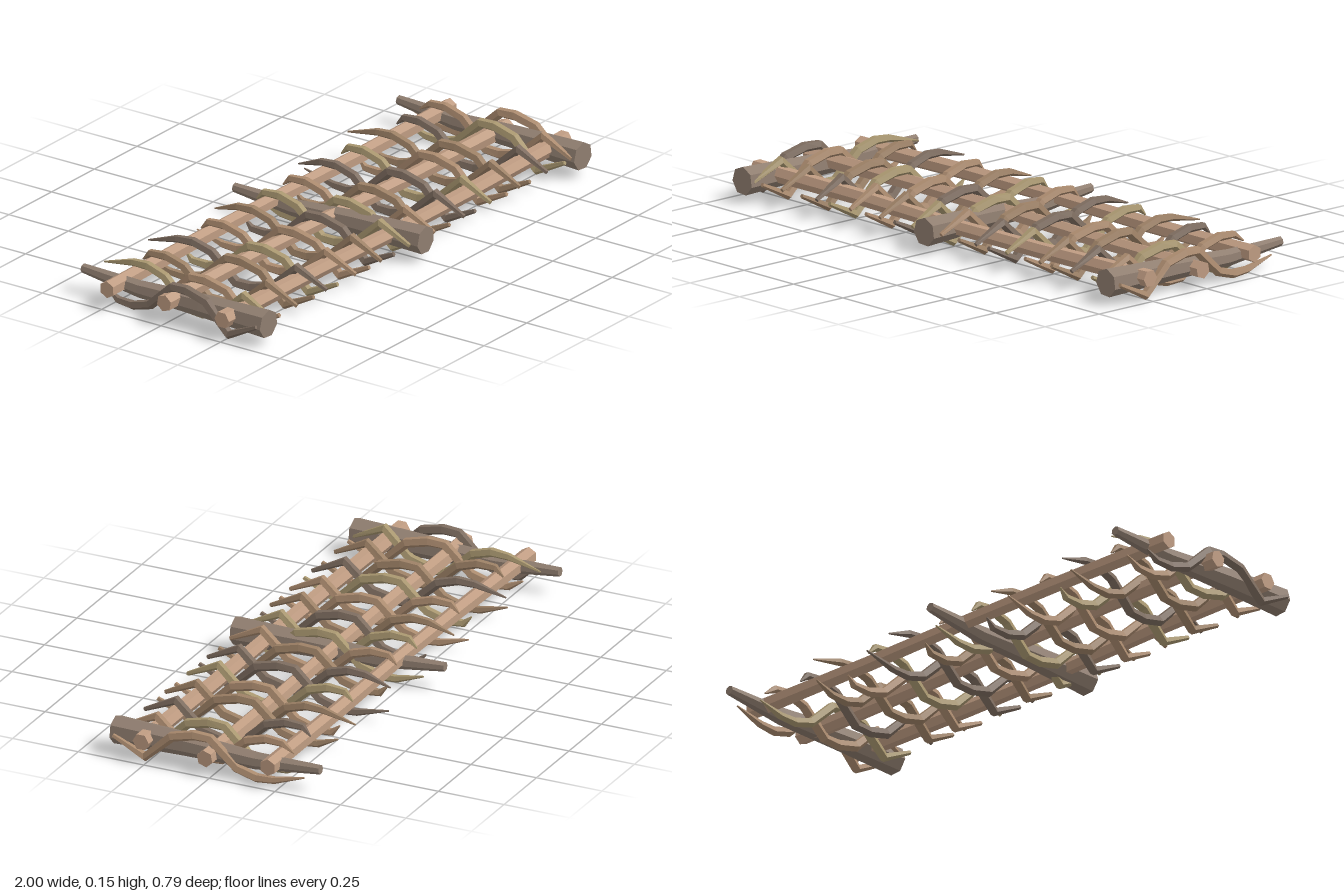
import * as THREE from 'three';

// Faceted limb swept along rows of [x, y, z, radius], capped at both ends
function limb(name, rows, sides, color, ref, turn) {
  const centres = rows.map(r => new THREE.Vector3(r[0], r[1], r[2]));
  const pos = [], idx = [];
  const last = rows.length - 1;
  rows.forEach((r, k) => {
    const t = centres[Math.min(k + 1, last)].clone().sub(centres[Math.max(k - 1, 0)]).normalize();
    const v = t.clone().cross(ref).normalize();
    const u = v.clone().cross(t);
    for (let i = 0; i < sides; i++) {
      const a = turn + (i / sides) * Math.PI * 2;
      const p = centres[k].clone().addScaledVector(u, Math.cos(a) * r[3]).addScaledVector(v, Math.sin(a) * r[3]);
      pos.push(p.x, p.y, p.z);
    }
  });
  for (let k = 0; k < last; k++) {
    for (let i = 0; i < sides; i++) {
      const a = k * sides + i, b = k * sides + (i + 1) % sides;
      idx.push(a, b, b + sides, a, b + sides, a + sides);
    }
  }
  const end = last * sides;
  for (let i = 1; i < sides - 1; i++) idx.push(0, i + 1, i, end, end + i, end + i + 1);
  const indexed = new THREE.BufferGeometry();
  indexed.setAttribute('position', new THREE.Float32BufferAttribute(pos, 3));
  indexed.setIndex(idx);
  const geo = indexed.toNonIndexed();
  geo.computeVertexNormals();
  const mesh = new THREE.Mesh(geo, new THREE.MeshStandardMaterial({ color, flatShading: true }));
  mesh.name = name;
  return mesh;
}

export function createModel() {
  const model = new THREE.Group();
  model.name = 'wattleFencePanel';
  const X = new THREE.Vector3(1, 0, 0), Y = new THREE.Vector3(0, 1, 0);

  // Tapered posts: [x at the thick end, x at the thin end]
  [[-0.92, -0.905], [0, -0.02], [0.92, 0.94]].forEach(([x0, x1], i) => {
    const at = t => x0 + (x1 - x0) * t;
    model.add(limb('post' + (i + 1), [
      [at(0), 0.078, 0.395, 0.051],
      [at(0.35), 0.078, 0.12, 0.042],
      [at(0.7), 0.072, -0.15, 0.031],
      [at(1), 0.089, -0.395, 0.017],
    ], 7, 0x8f7d6f, X, 0.3));
  });

  // Long rails, slightly crooked: z and y at left end, middle and right end, then roll
  [
    ['backRail', [-0.228, -0.222, -0.222], [0.08, 0.09, 0.086], 0],
    ['middleRail', [0.012, 0.018, 0.018], [0.088, 0.085, 0.071], 0.2],
    ['frontRail', [0.255, 0.266, 0.262], [0.085, 0.078, 0.085], 0.52],
  ].forEach(([name, z, y, roll]) => {
    model.add(limb(name, [
      [-1, y[0], z[0], 0.031],
      [-0.45, (y[0] + y[1]) / 2 + 0.004, (z[0] + z[1]) / 2, 0.029],
      [0, y[1], z[1], 0.027],
      [0.45, (y[1] + y[2]) / 2 - 0.004, (z[1] + z[2]) / 2, 0.029],
      [1, y[2], z[2], 0.031],
    ], 6, 0xbf9c82, Y, roll));
  });

  // Woven sticks: [x at the front end, x at the back tip, z of the tip]
  const sticks = [
    [-0.97, -0.935, -0.27], [-0.88, -0.845, -0.35], [-0.835, -0.85, -0.28], [-0.735, -0.75, -0.255],
    [-0.635, -0.63, -0.33], [-0.56, -0.6, -0.34], [-0.495, -0.505, -0.255], [-0.39, -0.41, -0.255],
    [-0.31, -0.33, -0.33], [-0.24, -0.24, -0.32], [-0.165, -0.155, -0.255], [-0.075, -0.085, -0.255],
    [-0.005, 0.015, -0.33],
    [0.07, 0.07, -0.255], [0.16, 0.14, -0.255], [0.245, 0.25, -0.32], [0.31, 0.325, -0.35],
    [0.4, 0.41, -0.255], [0.495, 0.51, -0.255], [0.57, 0.58, -0.35], [0.63, 0.615, -0.3],
    [0.73, 0.735, -0.255], [0.835, 0.865, -0.32], [0.875, 0.89, -0.27], [0.975, 0.955, -0.34],
  ];
  // Weave profile: [z, height from the panel's mid-plane, radius]
  const weave = [
    [0.38, 0.0, 0.008], [0.26, -0.057, 0.018], [0.16, 0.036, 0.019], [0.075, 0.057, 0.019],
    [0.015, 0.055, 0.019], [-0.085, -0.036, 0.018], [-0.16, -0.058, 0.017], [-0.225, -0.055, 0.014],
  ];
  const colors = [0xaa8a6e, 0xa8966f, 0x7d6c5f, 0x9c8065];
  sticks.forEach(([x0, x1, tip], i) => {
    const side = i % 2 ? -1 : 1;
    const rows = weave.map(([z, h, r]) =>
      [x0 + (x1 - x0) * (0.38 - z) / (0.38 - tip), 0.078 + side * h, z, r]);
    rows.push([x1, 0.078 - side * 0.025, tip, 0.003]);
    model.add(limb('wovenStick' + (i + 1), rows, 5, colors[(i * 3 + (i >> 2) + 2) % 4], X, 0.3));
  });

  return model;
}
